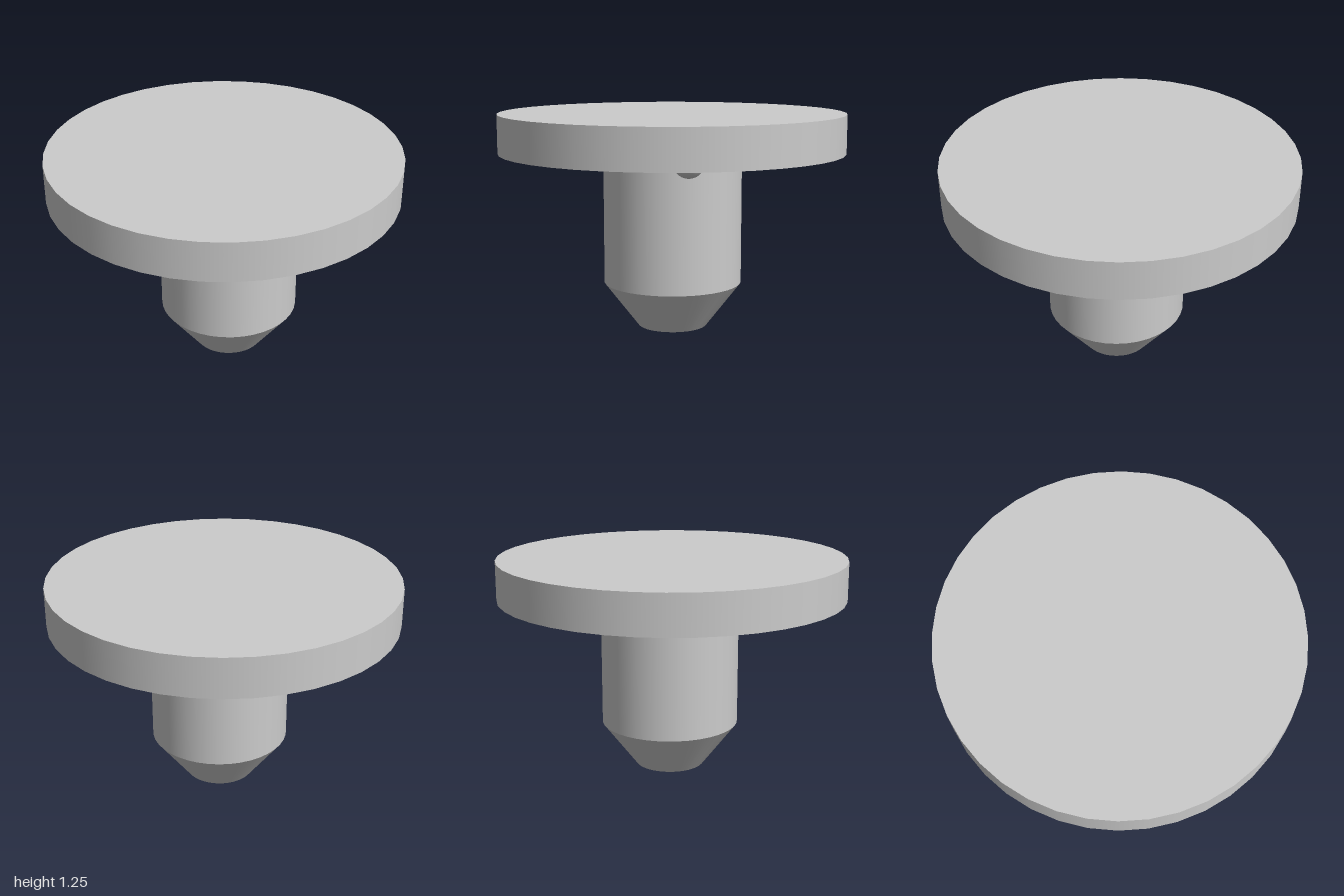
import * as THREE from 'three';

export function createModel() {
  const group = new THREE.Group();
  const material = new THREE.MeshStandardMaterial({ color: 0xcccccc });

  function add(name, geometry, x, y, z) {
    const mesh = new THREE.Mesh(geometry, material);
    mesh.name = name;
    mesh.position.set(x, y, z);
    group.add(mesh);
  }

  // Round head plate
  add('headDisc', new THREE.CylinderGeometry(1, 1, 0.225, 40), 0, 1.1325, 0);

  // Pin, slightly off centre: tapered tip, straight body, chamfered collar
  const pinX = 0.03;
  add('pinTip', new THREE.CylinderGeometry(0.4, 0.2, 0.26, 40), pinX, 0.13, 0);
  add('pinBody', new THREE.CylinderGeometry(0.4, 0.4, 0.72, 40, 1, true), pinX, 0.62, 0);
  add('pinCollar', new THREE.CylinderGeometry(0.365, 0.4, 0.04, 40, 1, true), pinX, 1.0, 0);

  // Four bumps under the head
  const bump = new THREE.SphereGeometry(0.085, 32, 20);
  const spots = [[-0.7, 0], [0.725, 0], [0, 0.62], [0, -0.725]];
  for (const [x, z] of spots) add('bump', bump, x, 1.04, z);

  return group;
}
